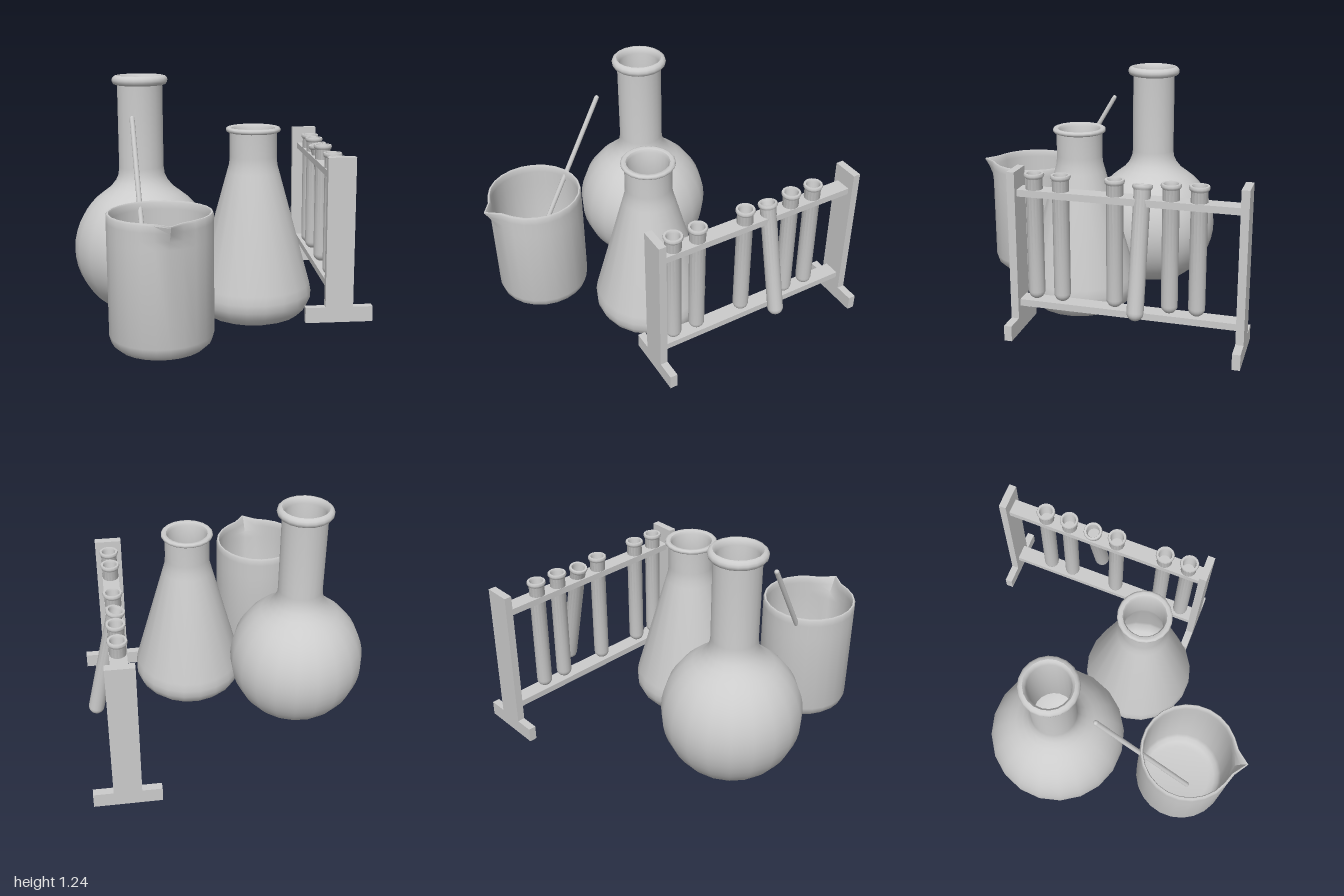
import * as THREE from 'three';
import { toCreasedNormals } from 'three/addons/utils/BufferGeometryUtils.js';

const material = new THREE.MeshStandardMaterial({ color: 0xcccccc, side: THREE.DoubleSide });

function add(parent, name, geometry, x = 0, y = 0, z = 0) {
  const mesh = new THREE.Mesh(geometry, material);
  mesh.name = name;
  mesh.position.set(x, y, z);
  parent.add(mesh);
  return mesh;
}

// Profiles run from the bottom centre, up the outside, over the rim and down the inside.
function lathe(points, sides, phiStart = 0) {
  return new THREE.LatheGeometry(points.map(([r, y]) => new THREE.Vector2(r, y)), sides, phiStart);
}
const crease = (geometry) => toCreasedNormals(geometry, 0.75);

// Points on a circular arc, angles measured up from horizontal
function arc(cr, cy, radius, from, to, steps) {
  return Array.from({ length: steps + 1 }, (_, i) => {
    const a = from + (to - from) * i / steps;
    return [Math.max(0, cr + radius * Math.cos(a)), cy + radius * Math.sin(a)];
  });
}

function roundFlask() {
  const outer = arc(0, 0.31, 0.365, -0.94, 0.97, 14);
  const inner = arc(0, 0.31, 0.347, 0.99, -0.94, 14);
  return crease(lathe([
    [0, 0.015], ...outer,
    [0.168, 0.64], [0.14, 0.675], [0.124, 0.71], [0.119, 0.75], [0.119, 1.185],
    ...arc(0.122, 1.21, 0.025, -1.5, 1.57, 6),
    [0.112, 1.225], [0.106, 1.2], [0.106, 0.74], [0.126, 0.68], [0.155, 0.635],
    ...inner, [0, 0.03],
  ], 20));
}

function conicalFlask() {
  return crease(lathe([
    [0, 0], [0.2, 0], [0.245, 0.018], [0.28, 0.053], [0.3, 0.095], [0.303, 0.135],
    [0.295, 0.18], [0.135, 0.76], [0.124, 0.8], [0.121, 0.84], [0.121, 0.963],
    ...arc(0.127, 0.977, 0.013, -1.4, 1.57, 5),
    [0.112, 0.985], [0.104, 0.97], [0.104, 0.81], [0.118, 0.755],
    [0.277, 0.18], [0.283, 0.13], [0.26, 0.07], [0.2, 0.025], [0, 0.02],
  ], 20));
}

// Beaker wall with one column of vertices drawn out into a pouring spout
function beakerGeometry() {
  const spout = -0.588;
  const geometry = lathe([
    [0, 0.005], [0.17, 0.005], [0.21, 0.016], [0.238, 0.042], [0.249, 0.08],
    [0.25, 0.54], [0.25, 0.58], [0.25, 0.62], [0.25, 0.652], [0.246, 0.66],
    [0.238, 0.66], [0.234, 0.652], [0.234, 0.62], [0.234, 0.58], [0.234, 0.54],
    [0.233, 0.085], [0.222, 0.05], [0.2, 0.03], [0.17, 0.022], [0, 0.022],
  ], 24, spout);
  const p = geometry.attributes.position;
  for (let i = 0; i < p.count; i++) {
    const x = p.getX(i), y = p.getY(i), z = p.getZ(i), r = Math.hypot(x, z);
    if (y < 0.55 || r < 0.2) continue;
    const turn = Math.cos(Math.atan2(x, z) - spout);
    const angle = Math.acos(Math.min(1, turn));
    const reach = Math.max(0, 1 - angle / 0.29) * 0.06 * ((y - 0.54) / 0.12) ** 1.3;
    p.setXYZ(i, x * (r + reach) / r, y, z * (r + reach) / r);
  }
  return crease(geometry);
}

// Test tube standing on its local origin
function testTube() {
  const R = 0.042, H = 0.66;
  return crease(lathe([
    ...arc(0, R, R, -Math.PI / 2, 0, 6),
    [R, H - 0.025], [0.048, H - 0.018], [0.051, H - 0.009], [0.048, H],
    [0.037, H], [0.033, H - 0.012],
    ...arc(0, R, 0.033, 0, -Math.PI / 2, 5),
  ], 16));
}

function createRack() {
  const rack = new THREE.Group();
  rack.name = 'testTubeRack';
  // End supports
  for (const [side, sign] of [['left', 1], ['right', -1]]) {
    add(rack, side + 'Foot', new THREE.BoxGeometry(0.04, 0.08, 0.345), sign * 0.572, 0.05, 0);
    add(rack, side + 'Post', new THREE.BoxGeometry(0.04, 0.77, 0.142), sign * 0.572, 0.475, 0);
  }
  // Cross rails
  for (const [name, y] of [['lowerRail', 0.167], ['upperRail', 0.748]]) {
    add(rack, name, new THREE.BoxGeometry(1.12, 0.035, 0.086), 0, y, 0);
  }
  // Upright tubes, then the leaning one
  const tube = testTube();
  for (const x of [-0.476, -0.339, -0.065, 0.212, 0.348]) add(rack, 'testTube', tube, x, 0.185, 0);
  add(rack, 'leaningTestTube', tube, 0.072, 0.183, 0.135).rotation.x = -0.216;
  rack.position.set(0.469, 0, 0.195);
  rack.rotation.y = 0.83;
  return rack;
}

// Stirring rod between two points, with rounded ends
function addRod(parent, from, to) {
  const along = new THREE.Vector3().subVectors(to, from);
  const rod = add(parent, 'stirringRod', new THREE.CapsuleGeometry(0.013, along.length() - 0.026, 4, 10));
  rod.position.copy(from).add(to).multiplyScalar(0.5);
  rod.quaternion.setFromUnitVectors(new THREE.Vector3(0, 1, 0), along.normalize());
}

export function createModel() {
  const model = new THREE.Group();
  model.name = 'laboratoryGlassware';
  add(model, 'roundFlask', roundFlask(), -0.34, 0, -0.39);
  add(model, 'conicalFlask', conicalFlask(), -0.095, 0, 0.19);
  add(model, 'beaker', beakerGeometry(), -0.748, 0, 0.19);
  addRod(model, new THREE.Vector3(-0.83, 0.13, 0.2), new THREE.Vector3(-0.53, 1.047, -0.24));
  model.add(createRack());
  return model;
}
